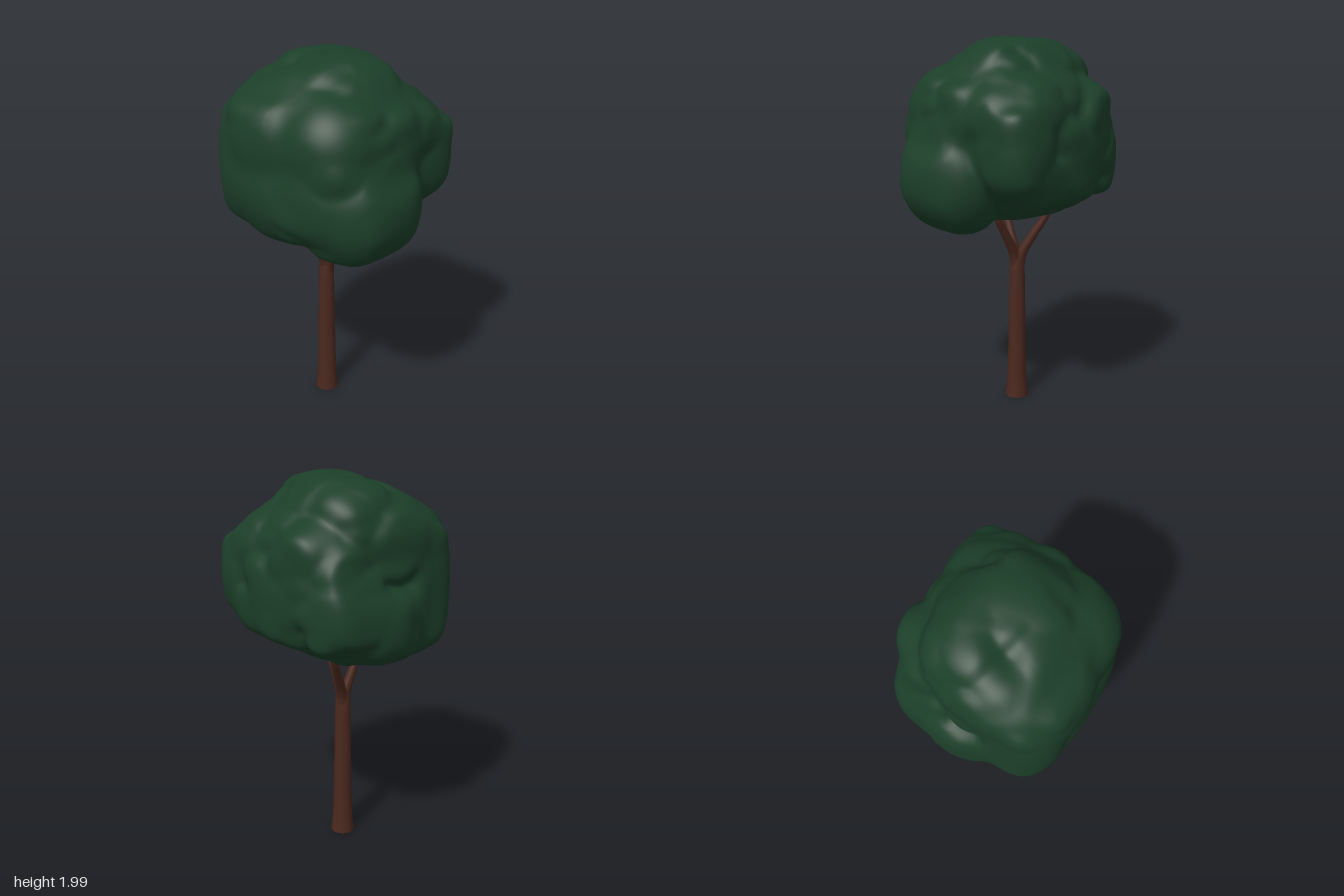
import * as THREE from 'three';
import { mergeVertices } from 'three/addons/utils/BufferGeometryUtils.js';

const V = (x, y, z) => new THREE.Vector3(x, y, z);
const CENTRE = V(0, 1.48, 0);

// Crown outlines: radius about the centre at every 15 degrees
const FRONT = [0.49, 0.486, 0.52, 0.485, 0.51, 0.526, 0.52, 0.529, 0.56, 0.565, 0.53, 0.475,
  0.495, 0.565, 0.61, 0.575, 0.478, 0.443, 0.435, 0.475, 0.565, 0.607, 0.612, 0.575]; // x to y
const SIDE = [0.512, 0.526, 0.548, 0.498, 0.503, 0.512, 0.515, 0.531, 0.5, 0.476, 0.507, 0.503,
  0.51, 0.512, 0.535, 0.472, 0.453, 0.462, 0.485, 0.505, 0.527, 0.553, 0.53, 0.513]; // z to y
const PLAN = [0.553, 0.578, 0.583, 0.552, 0.507, 0.482, 0.492, 0.53, 0.575, 0.574, 0.515, 0.52,
  0.555, 0.558, 0.592, 0.545, 0.5, 0.489, 0.5, 0.519, 0.592, 0.595, 0.51, 0.52]; // x to z

// Main leaf masses: centre x, y, z and radii x, y, z
const MASSES = [
  [0, 1.5, 0, 0.42, 0.44, 0.42],
  [-0.12, 1.6, 0.26, 0.32, 0.28, 0.24], [-0.1, 1.33, 0.22, 0.36, 0.29, 0.28], // front
  [0.18, 1.6, 0.18, 0.27, 0.26, 0.26], [0.17, 1.35, 0.22, 0.25, 0.27, 0.24],
  [0.27, 1.6, -0.06, 0.2, 0.22, 0.24],
  [-0.28, 1.67, 0.1, 0.2, 0.2, 0.28], [-0.3, 1.42, 0.31, 0.17, 0.28, 0.19],
  [-0.31, 1.25, 0.28, 0.16, 0.15, 0.16],
  [0.31, 1.3, 0.08, 0.26, 0.32, 0.3], // low left side
  [-0.38, 1.27, 0.03, 0.19, 0.2, 0.2], [-0.37, 1.37, -0.2, 0.18, 0.21, 0.2],
  [-0.15, 1.28, 0, 0.33, 0.25, 0.34],
  [0.28, 1.46, -0.33, 0.17, 0.24, 0.2], [0.15, 1.6, -0.25, 0.24, 0.22, 0.22], // back
  [-0.05, 1.4, -0.28, 0.28, 0.26, 0.22], [0.12, 1.28, -0.31, 0.2, 0.17, 0.18],
  [-0.2, 1.58, -0.2, 0.23, 0.24, 0.24],
  [0.04, 1.8, 0, 0.22, 0.2, 0.21], [0.18, 1.8, -0.05, 0.16, 0.16, 0.17], // top
  [-0.22, 1.79, -0.04, 0.17, 0.17, 0.19], [-0.06, 1.82, -0.14, 0.19, 0.17, 0.18],
  [-0.05, 1.75, 0.2, 0.27, 0.15, 0.17],
];

function makeRandom(seed) {
  return () => (seed = (seed * 16807) % 2147483647) / 2147483647;
}

// Distance outside an outline, its radius eased between the listed angles
function outside(outline, u, v) {
  const n = outline.length;
  const a = ((Math.atan2(v, u) / (2 * Math.PI) + 1) * n) % n;
  const i = Math.floor(a), t = a - i;
  const at = (k) => outline[(i + k + n) % n];
  const p0 = at(-1), p1 = at(0), p2 = at(1), p3 = at(2);
  const radius = p1 + 0.5 * t * (p2 - p0 + t * (2 * p0 - 5 * p1 + 4 * p2 - p3 + t * (3 * (p1 - p2) + p3 - p0)));
  return Math.hypot(u, v) - radius;
}

// Blended distance to the leaf masses, held within the three outlines
function distance(p, blobs) {
  const k = 0.05;
  let d = 10;
  for (const [x, y, z, a, b, c] of blobs) {
    const e = (Math.hypot((p.x - x) / a, (p.y - y) / b, (p.z - z) / c) - 1) * Math.min(a, b, c);
    const h = Math.max(k - Math.abs(d - e), 0) / k;
    d = Math.min(d, e) - h * h * k * 0.25;
  }
  const x = p.x - CENTRE.x, y = p.y - CENTRE.y, z = p.z - CENTRE.z;
  for (const e of [outside(FRONT, x, y), outside(SIDE, z, y), outside(PLAN, x, z)]) {
    const h = Math.max(0.03 - Math.abs(d - e), 0) / 0.03;
    d = Math.max(d, e) + h * h * 0.0075;
  }
  return d;
}

// Outermost surface point along a direction from the crown's centre
function surfacePoint(dir, blobs) {
  let r = 0.8;
  const p = V(0, 0, 0);
  for (let i = 0; i < 50; i++) {
    p.copy(CENTRE).addScaledVector(dir, r);
    const d = distance(p, blobs);
    if (d < 0.0008) break;
    r -= d * 0.85;
  }
  return p;
}

function crownGeometry() {
  // Small leaf clumps, sparse and shallow on the smooth front
  const random = makeRandom(4217);
  const clumps = [];
  const count = 110;
  for (let i = 0; i < count; i++) {
    const y = 1 - (2 * (i + 0.5)) / count;
    const s = Math.sqrt(1 - y * y);
    const a = i * 2.39996 + random() * 0.5;
    const dir = V(Math.cos(a) * s, y, Math.sin(a) * s);
    const r = 0.045 + random() * 0.05;
    const smoothSide = dir.z > 0.45 || (dir.x > 0.5 && dir.y < 0.1);
    if (smoothSide && random() < 0.85) continue;
    const p = surfacePoint(dir, MASSES).addScaledVector(dir, -r * (smoothSide ? 0.9 : 0.77));
    clumps.push([p.x, p.y, p.z, r * 1.15, r * 0.9, r * 1.15]);
  }
  const blobs = [...MASSES, ...clumps];

  let geometry = new THREE.IcosahedronGeometry(1, 42);
  geometry.deleteAttribute('normal');
  geometry.deleteAttribute('uv');
  geometry = mergeVertices(geometry, 1e-5);
  const pos = geometry.attributes.position;
  const dir = V(0, 0, 0);
  for (let i = 0; i < pos.count; i++) {
    dir.fromBufferAttribute(pos, i).normalize();
    const p = surfacePoint(dir, blobs);
    pos.setXYZ(i, p.x, p.y, p.z);
  }
  geometry.computeVertexNormals();
  return geometry;
}

// Round branch along a curve, narrowing towards its tip
function branchGeometry(points, r0, r1) {
  const curve = new THREE.CatmullRomCurve3(points);
  const rings = 16, sides = 14;
  const geometry = new THREE.TubeGeometry(curve, rings, 1, sides);
  const pos = geometry.attributes.position;
  const p = V(0, 0, 0);
  for (let i = 0; i < pos.count; i++) {
    const t = Math.floor(i / (sides + 1)) / rings;
    const c = curve.getPointAt(t);
    p.fromBufferAttribute(pos, i).sub(c).multiplyScalar(r0 + (r1 - r0) * t).add(c);
    pos.setXYZ(i, p.x, p.y, p.z);
  }
  return geometry;
}

export function createModel() {
  const model = new THREE.Group();
  model.name = 'tree';
  const leaves = new THREE.MeshStandardMaterial({ name: 'dark green leaves', color: 0x1c3f29 });
  const bark = new THREE.MeshStandardMaterial({ name: 'brown bark', color: 0x4a281e });
  const add = (name, geometry, material) => {
    const mesh = new THREE.Mesh(geometry, material);
    mesh.name = name;
    model.add(mesh);
    return mesh;
  };

  add('crown', crownGeometry(), leaves);

  // Trunk with a flared foot
  const profile = [[0.064, 0], [0.058, 0.05], [0.053, 0.13], [0.05, 0.25], [0.046, 0.5], [0.042, 0.72], [0.04, 0.8], [0.028, 0.85]];
  const trunk = add('trunk', new THREE.LatheGeometry(profile.map(([r, y]) => new THREE.Vector2(r, y)), 28), bark);
  trunk.position.x = -0.062;
  const foot = add('trunkBase', new THREE.CircleGeometry(0.064, 28), bark);
  foot.rotation.x = Math.PI / 2;
  foot.position.set(-0.062, 0.001, 0);

  // Three branches: sideways and outward offsets at y = 1.05
  for (const [name, x, z] of [['leftBranch', 0.15, -0.005], ['backBranch', -0.1, -0.12], ['frontBranch', -0.008, 0.1]]) {
    const at = (f, y) => V(-0.062 + x * f, y, z * f);
    add(name, branchGeometry([at(0.04, 0.74), at(0.15, 0.83), at(0.55, 0.94), at(1, 1.05), at(1.3, 1.16)], 0.032, 0.014), bark);
  }
  return model;
}
